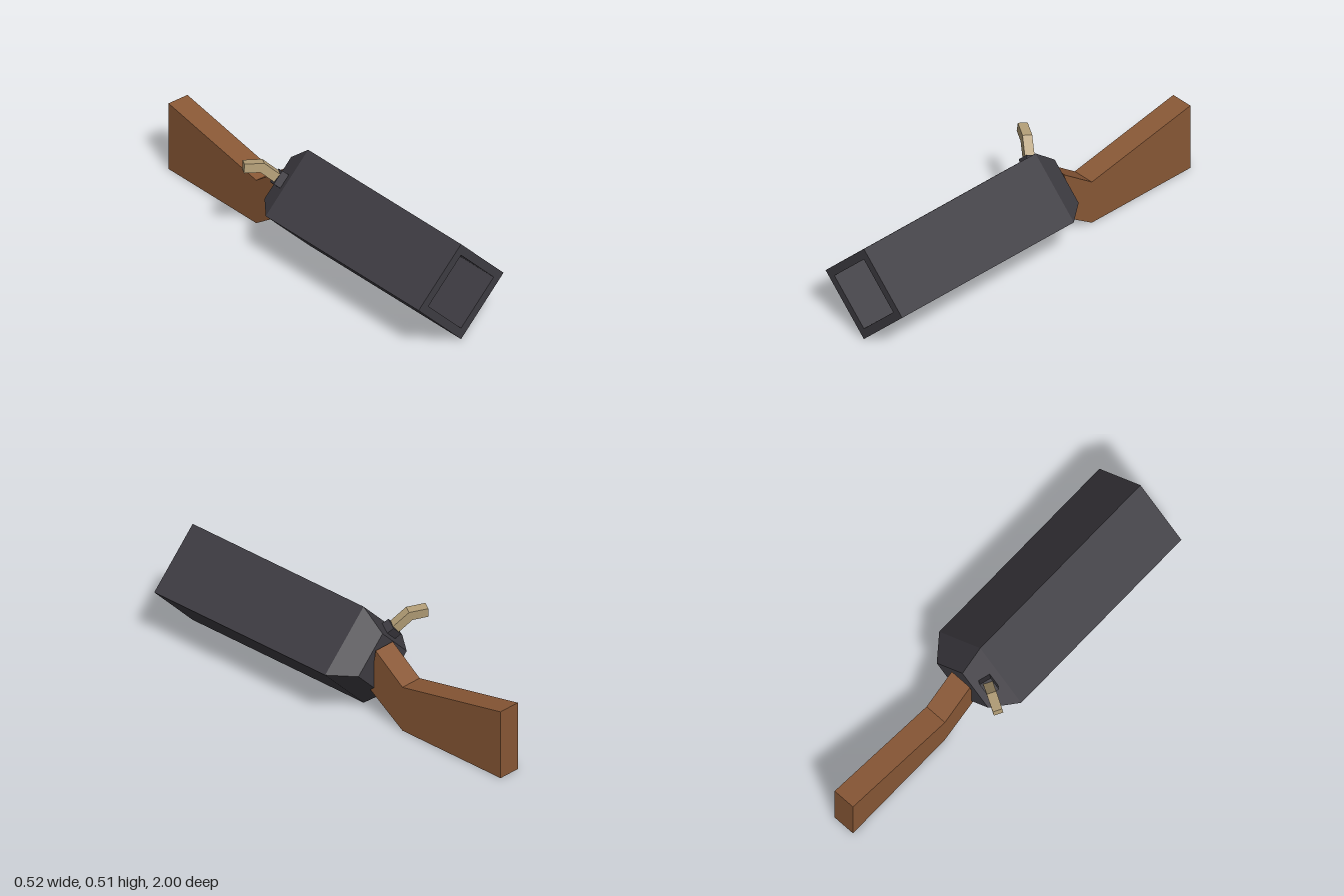
import * as THREE from 'three';

const flat = (color, name) => {
  const m = new THREE.MeshStandardMaterial({ color, flatShading: true });
  m.name = name;
  return m;
};

// Square bar swept along a bent path lying in one plane, with mitred joints
function bentBar(path, half) {
  const dirs = path.slice(1).map((p, i) => p.clone().sub(path[i]).normalize());
  const side = dirs[0].clone().cross(dirs[1]).normalize();
  const pos = [], idx = [];
  path.forEach((p, i) => {
    const before = dirs[Math.max(i - 1, 0)], after = dirs[Math.min(i, dirs.length - 1)];
    const d = before.clone().add(after).normalize();
    const up = side.clone().cross(d).multiplyScalar(half / d.dot(after));
    for (const [u, s] of [[1, -1], [1, 1], [-1, 1], [-1, -1]]) {
      pos.push(...p.clone().addScaledVector(up, u).addScaledVector(side, s * half).toArray());
    }
  });
  for (let i = 0; i < path.length - 1; i++) {
    for (let j = 0; j < 4; j++) {
      const a = i * 4 + j, b = i * 4 + (j + 1) % 4;
      idx.push(a, b, b + 4, a, b + 4, a + 4);
    }
  }
  const e = (path.length - 1) * 4;
  idx.push(0, 2, 1, 0, 3, 2, e, e + 1, e + 2, e, e + 2, e + 3);
  const g = new THREE.BufferGeometry();
  g.setAttribute('position', new THREE.Float32BufferAttribute(pos, 3));
  g.setIndex(idx);
  g.computeVertexNormals();
  return g;
}

export function createModel() {
  const metal = flat(0x3e3c42, 'darkMetal');
  const wood = flat(0x895836, 'brownWood');
  const tan = flat(0xb39e77, 'tanHorn');
  const model = new THREE.Group();
  model.name = 'squareBarrelGun';
  const add = (name, geometry, material) => {
    const mesh = new THREE.Mesh(geometry, material);
    mesh.name = name;
    model.add(mesh);
    return mesh;
  };

  // Hollow diamond barrel, tapered at the back
  const profile = [[0, -0.2], [0.16, -0.2], [0.255, -0.08], [0.255, 1], [0.196, 1], [0.196, -0.08], [0, -0.08]]
    .map(([r, z]) => new THREE.Vector2(r, z));
  const barrel = new THREE.LatheGeometry(profile, 4);
  barrel.rotateX(Math.PI / 2);
  add('barrel', barrel, metal).position.set(0.003, 0.257, 0);

  // Stock, side outline as (z, y)
  const outline = new THREE.Shape([[-0.177, 0.135], [-0.21, 0.355], [-0.38, 0.23], [-1, 0.352], [-1, 0], [-0.38, 0]]
    .map(([z, y]) => new THREE.Vector2(z, y)));
  const stock = new THREE.ExtrudeGeometry(outline, { depth: 0.114, bevelEnabled: false });
  stock.rotateY(-Math.PI / 2);
  stock.translate(0.06, 0, 0);
  add('stock', stock, wood);

  // Hammer block standing on the tapered upper right face
  const normal = new THREE.Vector3(-0.617, 0.617, -0.488).normalize();
  const across = new THREE.Vector3(1, 1, 0).normalize();
  const block = add('hammerBlock', new THREE.BoxGeometry(0.073, 0.06, 0.06), metal);
  block.quaternion.setFromRotationMatrix(
    new THREE.Matrix4().makeBasis(across, normal.clone().cross(across), normal));
  block.position.set(-0.103, 0.363, -0.14).addScaledVector(normal, 0.004);

  // Bent hammer
  add('hammer', bentBar([
    new THREE.Vector3(-0.115, 0.376, -0.15),
    new THREE.Vector3(-0.18, 0.445, -0.195),
    new THREE.Vector3(-0.253, 0.45, -0.237),
  ], 0.023), tan);

  return model;
}
